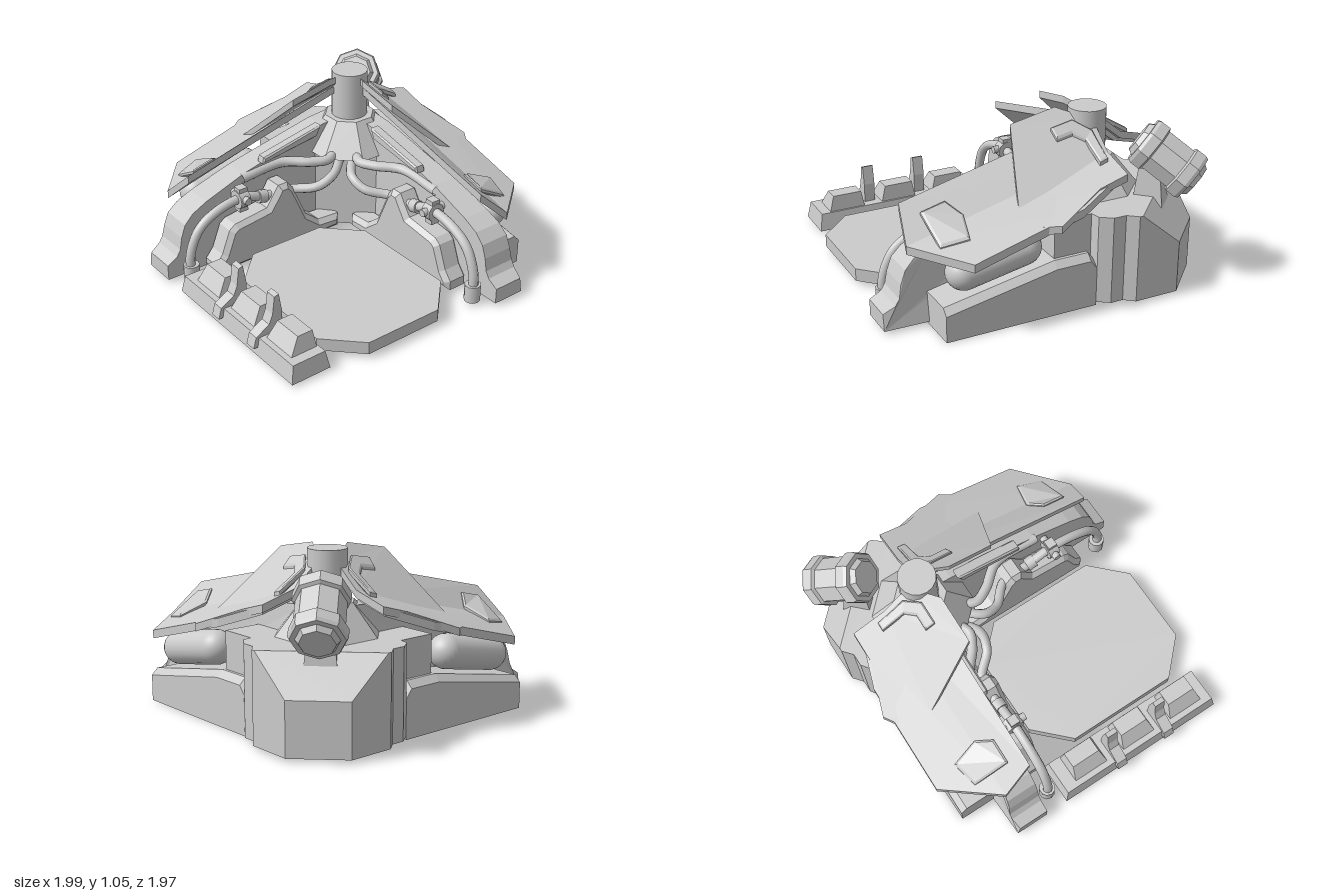
import * as THREE from 'three';
import { ConvexGeometry } from 'three/addons/geometries/ConvexGeometry.js';

const V = (x, y, z) => new THREE.Vector3(x, y, z);

export function createModel() {
  const model = new THREE.Group();
  const material = new THREE.MeshStandardMaterial({ color: 0xcccccc, side: THREE.DoubleSide });

  const add = (name, geometry) => {
    const mesh = new THREE.Mesh(geometry, material);
    mesh.name = name;
    model.add(mesh);
    return mesh;
  };

  // Mirror across the diagonal plane x = -z, keeping the winding outward
  const swap = new THREE.Matrix4().set(0, 0, -1, 0, 0, 1, 0, 0, -1, 0, 0, 0, 0, 0, 0, 1);
  const mirrored = (geometry) => {
    const g = geometry.index ? geometry.toNonIndexed() : geometry.clone();
    g.applyMatrix4(swap);
    for (const a of [g.attributes.position, g.attributes.normal]) {
      for (let i = 0; i < a.count; i += 3) {
        const p = V().fromBufferAttribute(a, i + 1), q = V().fromBufferAttribute(a, i + 2);
        a.setXYZ(i + 1, q.x, q.y, q.z);
        a.setXYZ(i + 2, p.x, p.y, p.z);
      }
    }
    return g;
  };
  const both = (name, geometry) => {
    add('left ' + name, geometry);
    add('back ' + name, mirrored(geometry));
  };

  const shapeOf = (pts) => new THREE.Shape(pts.map(([a, b]) => new THREE.Vector2(a, b)));

  // Plan outline of [z, x] points raised onto a height function
  const slab = (outline, thickness, height, bevel = 0) => {
    const g = new THREE.ExtrudeGeometry(shapeOf(outline.map(([z, x]) => [x, -z])), {
      depth: thickness - 2 * bevel, bevelEnabled: bevel > 0, bevelSize: bevel,
      bevelThickness: bevel, bevelOffset: -bevel, bevelSegments: 1 });
    g.rotateX(-Math.PI / 2).translate(0, bevel, 0);
    const p = g.attributes.position;
    for (let i = 0; i < p.count; i++) p.setY(i, p.getY(i) + height(p.getZ(i), p.getX(i)));
    g.computeVertexNormals();
    return g;
  };

  // Side profile of [z, y] points extruded between x0 and x1
  const side = (profile, x0, x1, bevel = 0) => {
    const g = new THREE.ExtrudeGeometry(shapeOf(profile), {
      depth: x1 - x0 - 2 * bevel, bevelEnabled: bevel > 0, bevelSize: bevel,
      bevelThickness: bevel, bevelOffset: -bevel, bevelSegments: 1 });
    return g.rotateY(-Math.PI / 2).translate(x1 - bevel, 0, 0);
  };

  const box = (x0, x1, y0, y1, z0, z1) => new THREE.BoxGeometry(x1 - x0, y1 - y0, z1 - z0)
    .translate((x0 + x1) / 2, (y0 + y1) / 2, (z0 + z1) / 2);

  const hose = (pts, r = 0.03) => new THREE.TubeGeometry(
    new THREE.CatmullRomCurve3(pts.map((p) => V(...p))), 40, r, 10);

  // Corner block with stepped sides and a sloped rear chamfer
  const half = [[-0.15, 0.43], [-0.24, 0.88], [-0.31, 0.93], [-0.39, 0.93], [-0.45, 0.98], [-0.47, 0.98]];
  add('corner block', slab([...half, ...half.map(([z, x]) => [-x, -z]).reverse()], 0.54, () => 0.02));
  const chamfer = [];
  for (const [x, z, top] of [[0.98, -0.47, 0.56], [0.98, -0.73, 0.34]]) {
    for (const y of [0.02, top]) chamfer.push(V(x, y, z), V(-z, y, -x));
  }
  add('corner chamfer', new ConvexGeometry(chamfer));
  add('corner dome', new THREE.CylinderGeometry(0.16, 0.32, 0.2, 8).toNonIndexed()
    .rotateY(Math.PI / 8).translate(0.42, 0.65, -0.42)).geometry.computeVertexNormals();
  add('post', new THREE.CylinderGeometry(0.115, 0.115, 0.4, 16).translate(0.42, 0.85, -0.42));

  // Low outer wall, thick and rising toward the corner
  const wall = [];
  for (const [z, y] of [[0.71, 0.2], [0.02, 0.33], [-0.2, 0.33], [-0.24, 0.28]]) {
    wall.push(V(0.62, 0, z), V(0.88, 0, z), V(0.62, y, z), V(0.84, y, z), V(0.88, y - 0.04, z));
  }
  both('outer wall', new ConvexGeometry(wall));
  both('upper wall', box(0.45, 0.82, 0.2, 0.56, -0.32, 0.01));

  // Arm body ending in a foot, narrowing upward and toward the toe
  const body = side([[0.98, 0.02], [0.98, 0.12], [0.91, 0.16], [0.885, 0.2], [0.87, 0.28], [0.84, 0.36],
    [0.78, 0.42], [0.68, 0.47], [0.4, 0.57], [-0.2, 0.72], [-0.4, 0.74], [-0.4, 0.02]], 0.43, 0.69);
  const bp = body.attributes.position;
  for (let i = 0; i < bp.count; i++) {
    if (bp.getX(i) > 0.5) bp.setX(i, 0.69 - 0.17 * bp.getY(i) - 0.3 * Math.max(0, bp.getZ(i) - 0.84));
  }
  body.computeVertexNormals();
  both('arm body', body);
  both('inner panel', side([[0.71, 0.02], [0.71, 0.08], [0.66, 0.14], [0.6, 0.29], [0.56, 0.32], [0.32, 0.35],
    [0.27, 0.42], [0.23, 0.48], [0.16, 0.48], [0.12, 0.43], [0.02, 0.2], [-0.08, 0.12], [-0.24, 0.11],
    [-0.24, 0.02]], 0.28, 0.45, 0.03));
  both('side bar', side([[0.28, 0.61], [-0.14, 0.67], [-0.17, 0.74], [0.27, 0.65]], 0.39, 0.46, 0.01));

  // Rounded tank lying on the outer wall
  const a = V(0.765, 0.35, 0.55), b = V(0.765, 0.42, 0.18);
  both('tank', new THREE.CapsuleGeometry(0.105, a.distanceTo(b), 8, 20)
    .rotateX(Math.PI / 2 + Math.atan2(b.y - a.y, a.z - b.z))
    .translate(0.765, 0.385, 0.365));

  // Overlapping armour plates, each folded from a steep inner and a shallow outer facet
  const lowY = (z, x) => Math.max(0.66 - 0.25 * (z - 0.79) - 0.86 * (x - 0.44), 0.46 - 0.28 * (z - 0.57) + 0.25 * (0.95 - x));
  const highY = (z, x) => Math.max(0.98 - 0.2 * (z - 0.06) - 0.89 * (x - 0.37), 0.6 - 0.3 * (z - 0.06) + 0.26 * (0.99 - x));
  both('lower plate inner facet', slab([[0.79, 0.44], [0.83, 0.63], [-0.38, 0.64], [-0.38, 0.44]], 0.05,
    (z, x) => lowY(z, x) - 0.03));
  both('lower plate outer facet', slab([[0.83, 0.63], [0.57, 0.95], [-0.1, 0.95], [-0.38, 0.85], [-0.38, 0.64]], 0.05,
    (z, x) => lowY(z, x) - 0.03));
  both('upper plate inner facet', slab([[0.06, 0.37], [0.2, 0.75], [-0.42, 0.66], [-0.42, 0.49], [-0.23, 0.37]], 0.045,
    (z, x) => highY(z, x) - 0.03));
  both('upper plate outer facet', slab([[0.2, 0.75], [0.18, 0.91], [0.06, 0.99], [-0.24, 0.88], [-0.42, 0.88],
    [-0.42, 0.66]], 0.045, (z, x) => highY(z, x) - 0.03));
  both('plate badge', slab([[0.7, 0.53], [0.68, 0.75], [0.52, 0.79], [0.48, 0.62], [0.55, 0.53]],
    0.04, (z, x) => lowY(z, x) + 0.01, 0.012));
  both('plate strip', slab([[-0.15, 0.47], [-0.16, 0.53], [-0.26, 0.53], [-0.32, 0.58], [-0.33, 0.73],
    [-0.38, 0.73], [-0.38, 0.55], [-0.29, 0.47]], 0.04, (z, x) => highY(z, x) + 0.005, 0.008));

  // Hoses along the inner side of each arm
  both('foot hose', hose([[0.35, 0.03, 0.86], [0.35, 0.2, 0.86], [0.35, 0.35, 0.79], [0.35, 0.43, 0.66],
    [0.35, 0.46, 0.48], [0.35, 0.41, 0.3]]));
  both('hose socket', new THREE.CylinderGeometry(0.05, 0.05, 0.11, 10).translate(0.35, 0.075, 0.86));
  both('hose clamp', new THREE.CylinderGeometry(0.06, 0.06, 0.07, 12).rotateX(Math.PI / 2).translate(0.35, 0.46, 0.48));
  both('clamp lug', box(0.32, 0.38, 0.38, 0.54, 0.45, 0.51));
  both('clamp bolt', new THREE.CylinderGeometry(0.025, 0.025, 0.17, 8).rotateZ(Math.PI / 2).translate(0.35, 0.47, 0.48));
  both('hose collar', new THREE.CylinderGeometry(0.042, 0.042, 0.06, 10).rotateX(Math.PI / 2 - 0.2).translate(0.35, 0.42, 0.33));
  both('upper hose', hose([[0.43, 0.54, 0.42], [0.42, 0.56, 0.12], [0.31, 0.56, -0.03],
    [0.27, 0.56, -0.13], [0.34, 0.57, -0.24], [0.42, 0.58, -0.35]], 0.032));
  both('lower hose', hose([[0.35, 0.41, 0.3], [0.34, 0.4, 0.12], [0.22, 0.43, -0.01],
    [0.2, 0.48, -0.11], [0.28, 0.5, -0.22], [0.42, 0.5, -0.35]]));

  // Tilted barrel on the corner
  const barrelProfile = [[0, -0.21], [0.1, -0.21], [0.12, -0.18], [0.15, -0.18], [0.16, -0.16], [0.16, -0.1],
    [0.14, -0.09], [0.14, 0.09], [0.16, 0.1], [0.16, 0.16], [0.15, 0.18], [0.12, 0.18], [0.1, 0.21], [0, 0.21]];
  const lathe = new THREE.LatheGeometry(barrelProfile.map(([r, y]) => new THREE.Vector2(r, y)), 8).toNonIndexed();
  lathe.computeVertexNormals();
  const barrel = add('barrel', lathe);
  barrel.position.set(0.765, 0.775, -0.765);
  barrel.quaternion.setFromUnitVectors(V(0, 1, 0), V(-0.582, 0.56, 0.582).normalize());
  add('barrel bracket', new THREE.CylinderGeometry(0.09, 0.13, 0.24, 4).toNonIndexed()
    .translate(0.7, 0.6, -0.7)).geometry.computeVertexNormals();

  // Octagonal floor plate
  const cut = 0.21, x0 = -0.695, x1 = 0.24, z0 = -0.235, z1 = 0.91;
  add('floor plate', slab([[z0, x0 + cut], [z0, x1 - cut], [z0 + cut, x1], [z1 - cut, x1], [z1, x1 - cut],
    [z1, x0 + cut], [z1 - cut, x0], [z0 + cut, x0]], 0.08, () => 0.03));

  // Right-hand rail with wedges and hooked fins
  const frustum = ([ax, bx, az, bz, y], [cx, dx, cz, dz, top]) => new ConvexGeometry([
    V(ax, y, az), V(bx, y, az), V(ax, y, bz), V(bx, y, bz),
    V(cx, top, cz), V(dx, top, cz), V(cx, top, dz), V(dx, top, dz)]);
  add('rail', frustum([-0.98, -0.72, -0.28, 0.86, 0.02], [-0.96, -0.74, -0.26, 0.84, 0.13]));
  for (const z of [-0.06, 0.3, 0.66]) {
    add('rail wedge', frustum([-0.93, -0.75, z - 0.12, z + 0.12, 0.12], [-0.86, -0.76, z - 0.1, z + 0.09, 0.23]));
  }
  const fin = [[-1, 0.07], [-0.8, 0.07], [-0.8, 0.25], [-0.82, 0.37], [-0.85, 0.36], [-0.865, 0.25], [-0.89, 0.19], [-0.98, 0.14]];
  for (const z of [0.095, 0.45]) {
    add('rail fin', new THREE.ExtrudeGeometry(shapeOf(fin), { depth: 0.07, bevelEnabled: false }).translate(0, 0, z));
  }
  return model;
}
